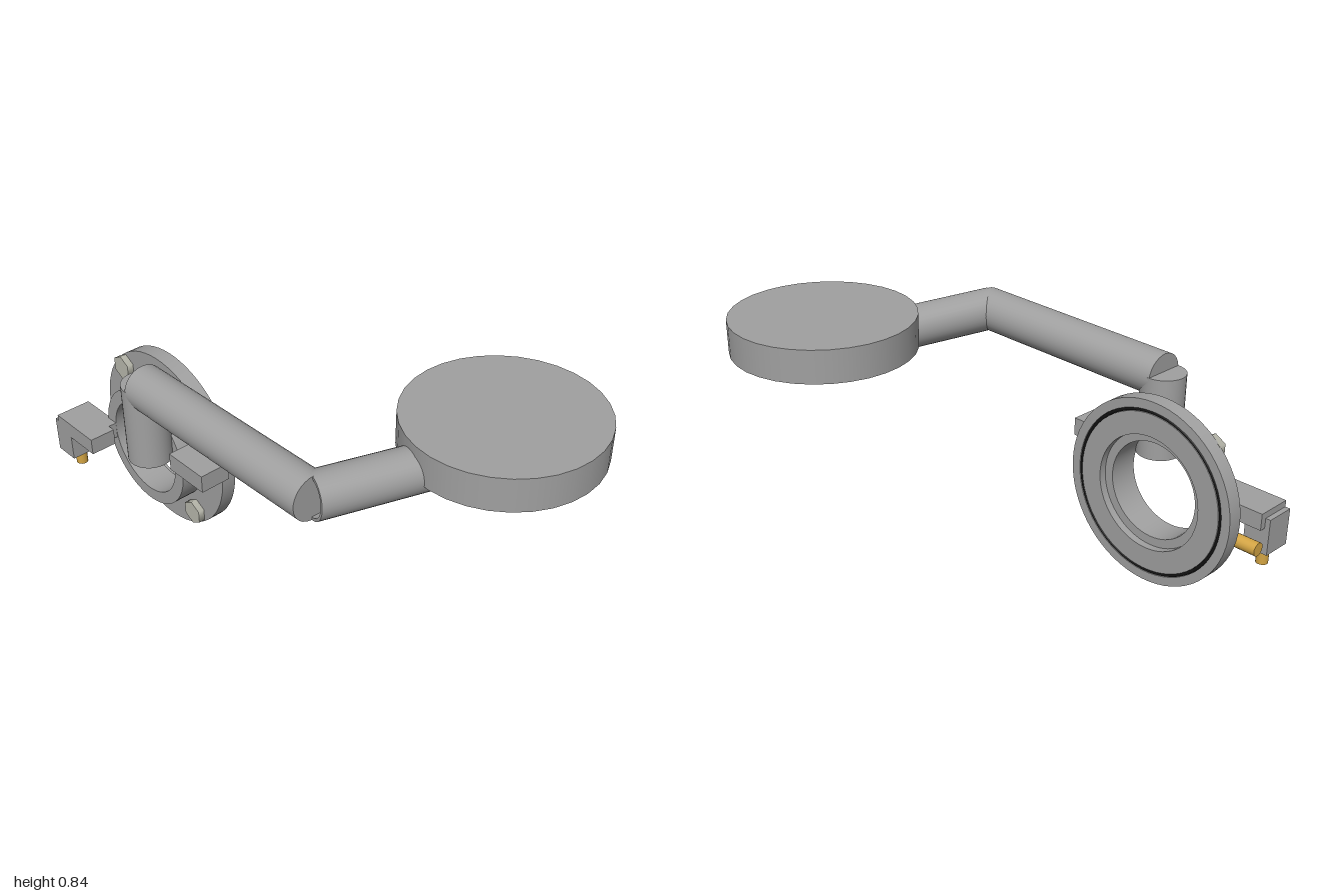
import * as THREE from 'three';
import { toCreasedNormals } from 'three/addons/utils/BufferGeometryUtils.js';

const mat = (color) => new THREE.MeshStandardMaterial({ color });

export function createModel() {
  const model = new THREE.Group();
  const grey = mat(0xa0a0a0), brass = mat(0xd4a543), steel = mat(0xb8b8ac), black = mat(0x121212);

  const add = (name, geometry, material = grey) => {
    const mesh = new THREE.Mesh(geometry, material);
    mesh.name = name;
    model.add(mesh);
    return mesh;
  };
  // box given by its limits on each axis
  const box = (name, [x0, x1], [y0, y1], [z0, z1], material) =>
    add(name, new THREE.BoxGeometry(x1 - x0, y1 - y0, z1 - z0), material)
      .position.set((x0 + x1) / 2, (y0 + y1) / 2, (z0 + z1) / 2);
  // cylinder between two points
  const rod = (name, from, to, radius, material, sides = 32) => {
    const a = new THREE.Vector3(...from), b = new THREE.Vector3(...to);
    const dir = b.clone().sub(a);
    const mesh = add(name, new THREE.CylinderGeometry(radius, radius, dir.length(), sides), material);
    mesh.position.copy(a).add(b).multiplyScalar(0.5);
    mesh.quaternion.setFromUnitVectors(new THREE.Vector3(0, 1, 0), dir.normalize());
  };
  // sharp-edged turned part from [radius, height] pairs
  const turned = (points, sides) => toCreasedNormals(
    new THREE.LatheGeometry(points.map(([r, h]) => new THREE.Vector2(r, h)), sides), 0.6);

  // Flange with stepped hub, bore, rear counterbore and seal groove
  const cx = -0.588, cy = 0.361;
  const flange = add('flange', turned([
    [0.19, 0.31], [0.225, 0.31], [0.225, 0.28], [0.312, 0.28], [0.312, 0.29], [0.325, 0.29], [0.325, 0.28],
    [0.361, 0.28], [0.361, 0.34], [0.24, 0.34], [0.24, 0.432], [0.19, 0.432], [0.19, 0.31],
  ], 64).rotateX(Math.PI / 2));
  flange.position.set(cx, cy, 0);
  const seal = add('sealRing', new THREE.TorusGeometry(0.3185, 0.0065, 8, 64), black);
  seal.position.set(cx, cy, 0.286);

  // Hexagonal bolt heads
  for (const [x, y] of [[-0.798, 0.597], [-0.358, 0.572], [-0.802, 0.138], [-0.403, 0.113]])
    rod('boltHead', [x, y, 0.335], [x, y, 0.366], 0.05, steel, 6);

  // Support post and main arm
  rod('post', [-0.468, 0.417, 0.485], [-0.468, 0.738, 0.485], 0.085);
  rod('mainArm', [-0.468, 0.724, 0.485], [0.442, 0.738, 0.485], 0.085);

  // Forearm, hollow at the elbow and closed under the plate
  const elbow = new THREE.Vector3(0.43, 0.738, 0.485);
  const reach = new THREE.Vector3(0.635, 0.706, -0.202).sub(elbow);
  const length = reach.length();
  const foreArm = add('foreArm', turned([
    [0, 0.1], [0.074, 0.1], [0.074, 0], [0.085, 0], [0.085, length], [0, length],
  ], 32));
  foreArm.position.copy(elbow);
  foreArm.quaternion.setFromUnitVectors(new THREE.Vector3(0, 1, 0), reach.normalize());

  // Round plate at the end of the arm
  const plate = add('roundPlate', new THREE.CylinderGeometry(0.364, 0.364, 0.133, 32));
  plate.position.set(0.636, 0.775, -0.206);

  // Side bracket
  box('sideBracket', [-0.347, -0.157], [0.415, 0.486], [0.363, 0.485]);

  // Clamp with a hanging block and fittings
  box('clampBar', [-0.98, -0.746], [0.312, 0.378], [0.465, 0.57]);
  box('clampTab', [-0.98, -0.778], [0.312, 0.378], [0.425, 0.466]);
  box('clampBlock', [-1, -0.898], [0.208, 0.352], [0.45, 0.57]);
  box('clampPad', [-0.88, -0.825], [0.32, 0.386], [0.34, 0.385], black);
  rod('verticalFitting', [-0.95, 0.138, 0.505], [-0.95, 0.215, 0.505], 0.023, brass, 20);
  rod('horizontalFitting', [-1, 0.258, 0.392], [-0.8, 0.258, 0.392], 0.026, brass, 20);

  return model;
}
